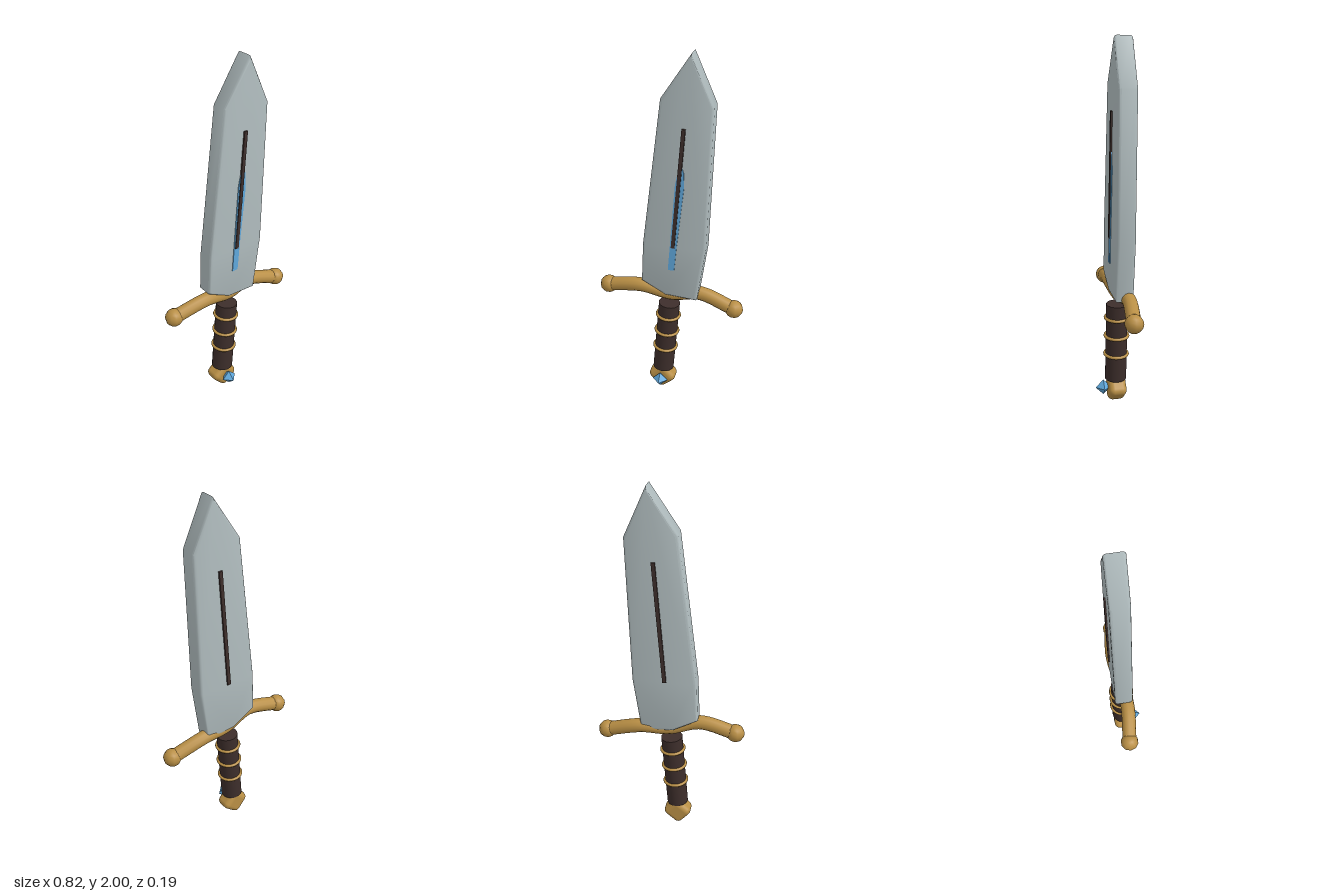
import * as THREE from 'three';
import { toCreasedNormals } from 'three/addons/utils/BufferGeometryUtils.js';
import { RoundedBoxGeometry } from 'three/addons/geometries/RoundedBoxGeometry.js';

const TILT = -0.08; // lean of the whole sword
const MID_Z = -0.022; // middle plane of the sword

export function createModel() {
  const sword = new THREE.Group();
  sword.name = 'sword';

  const mat = (color) => new THREE.MeshStandardMaterial({ color });
  const steel = mat(0xb0bcbe);
  const gold = mat(0xb98f45);
  const leather = mat(0x3d2e2b);
  const blue = mat(0x5fa8dc);

  const add = (name, geometry, material, x = 0, y = 0, z = 0, parent = sword) => {
    const mesh = new THREE.Mesh(geometry, material);
    mesh.name = name;
    mesh.position.set(x, y, z);
    parent.add(mesh);
    return mesh;
  };
  const outline = (points) => new THREE.Shape(points.map(([x, y]) => new THREE.Vector2(x, y)));

  // Blade: thick slab with softened edges
  const bevel = 0.015;
  const bladeShape = outline([
    [-0.02, 0.655], [0.156, 0.643], [0.2, 0.96], [0.225, 1.745],
    [0.11, 2.0], [-0.045, 1.77], [-0.145, 0.96], [-0.155, 0.73],
  ]);
  const bladeGeo = new THREE.ExtrudeGeometry(bladeShape, {
    depth: 0.1 - 2 * bevel, bevelThickness: bevel, bevelSize: bevel, bevelOffset: -bevel, bevelSegments: 3,
  });
  add('blade', toCreasedNormals(bladeGeo, 0.6), steel, 0, 0, MID_Z - 0.05 + bevel);

  // Dark groove strip showing on both faces
  const groove = add('groove', new THREE.BoxGeometry(0.02, 0.67, 0.118), leather, 0.051, 1.297, MID_Z);
  groove.rotation.z = TILT;

  // Blue inlay on the front face
  const inlayShape = outline([
    [-0.003, 0.823], [0.032, 0.823], [0.045, 0.97], [0.082, 1.315],
    [0.08, 1.4], [0.06, 1.45], [0.035, 1.33], [0.012, 1.02],
  ]);
  add('inlay', new THREE.ExtrudeGeometry(inlayShape, { depth: 0.012, bevelEnabled: false }), blue, 0, 0, 0.02);

  // Wavy crossguard with a ball on each end
  const guardPath = new THREE.CatmullRomCurve3([
    new THREE.Vector3(-0.36, 0.65, -0.022),
    new THREE.Vector3(-0.16, 0.685, -0.003),
    new THREE.Vector3(0.01, 0.645, -0.022),
    new THREE.Vector3(0.16, 0.655, -0.043),
    new THREE.Vector3(0.36, 0.595, -0.022),
  ]);
  add('crossguard', new THREE.TubeGeometry(guardPath, 32, 0.039, 12), gold);
  for (const t of [0, 1]) {
    const p = guardPath.getPoint(t);
    add('guardBall', new THREE.SphereGeometry(0.05, 10, 8), gold, p.x, p.y, p.z);
  }

  // Grip with three binding rings
  const grip = new THREE.Group();
  grip.name = 'grip';
  grip.position.set(-0.024, 0.358, -0.018);
  grip.rotation.z = TILT;
  sword.add(grip);
  add('gripCore', new THREE.CylinderGeometry(0.06, 0.06, 0.45, 16), leather, 0, 0, 0, grip);
  for (const y of [-0.073, 0.037, 0.145]) {
    const ring = add('gripRing', new THREE.TorusGeometry(0.063, 0.009, 8, 24), gold, 0, y, 0, grip);
    ring.rotation.x = Math.PI / 2;
  }

  // Diamond-set pommel and its jewel
  const pommel = add('pommel', new RoundedBoxGeometry(0.125, 0.125, 0.1, 4, 0.03), gold, -0.045, 0.077, MID_Z);
  pommel.rotation.z = Math.PI / 4 + TILT;
  add('jewel', new THREE.OctahedronGeometry(0.044), blue, -0.045, 0.082, 0.052);

  return sword;
}
